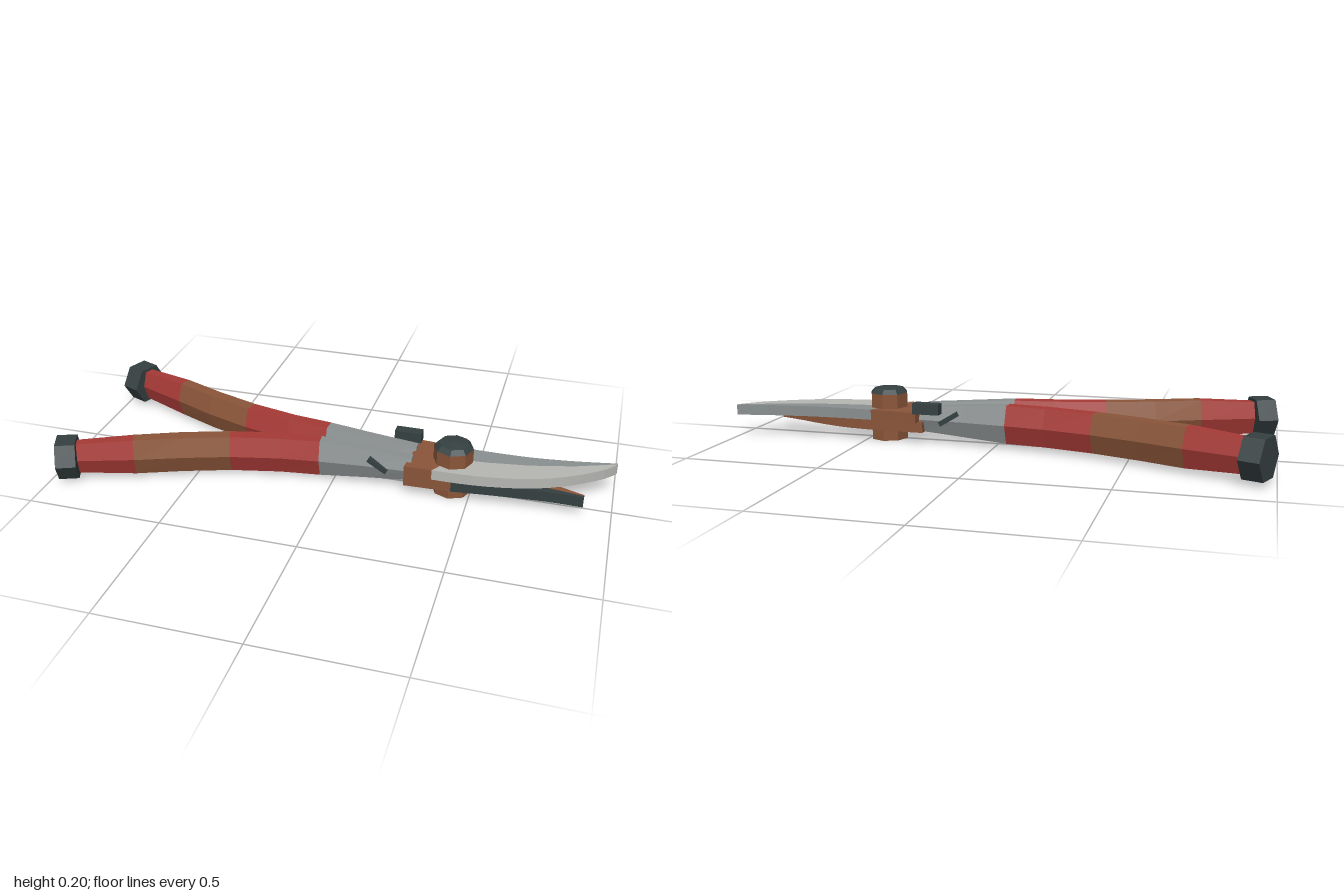
import * as THREE from 'three';

const mat = (name, color) => {
  const m = new THREE.MeshStandardMaterial({ color, flatShading: true });
  m.name = name;
  return m;
};

// Hexagonal loft along stations [x, z, half width, half height]
function hexLoft(all, from, to, cy) {
  const rings = [];
  for (let j = from; j <= to; j++) {
    const [x, z, hw, hh] = all[j];
    const p = all[Math.max(j - 1, 0)], q = all[Math.min(j + 1, all.length - 1)];
    const len = Math.hypot(q[0] - p[0], q[1] - p[1]);
    const nx = -(q[1] - p[1]) / len, nz = (q[0] - p[0]) / len;
    const ring = [];
    for (let i = 0; i < 6; i++) {
      const a = i * Math.PI / 3, w = Math.cos(a) * hw;
      ring.push([x + nx * w, cy + Math.sin(a) * hh / 0.866, z + nz * w]);
    }
    rings.push(ring);
  }
  const pos = [];
  const tri = (a, b, c) => pos.push(...a, ...b, ...c);
  for (let j = 0; j < rings.length - 1; j++) {
    for (let i = 0; i < 6; i++) {
      const k = (i + 1) % 6, r = rings[j], s = rings[j + 1];
      tri(r[i], s[i], s[k]);
      tri(r[i], s[k], r[k]);
    }
  }
  const first = rings[0], last = rings[rings.length - 1];
  for (let i = 1; i < 5; i++) {
    tri(first[0], first[i], first[i + 1]);
    tri(last[0], last[i + 1], last[i]);
  }
  const g = new THREE.BufferGeometry();
  g.setAttribute('position', new THREE.Float32BufferAttribute(pos, 3));
  g.computeVertexNormals();
  return g;
}

// Flat plate with an outline of [x, z] points between two heights
function plate(points, y0, y1) {
  const shape = new THREE.Shape(points.map(([x, z]) => new THREE.Vector2(x, -z)));
  const g = new THREE.ExtrudeGeometry(shape, { depth: y1 - y0, bevelEnabled: false });
  return g.rotateX(-Math.PI / 2).translate(0, y0, 0);
}

// Smooth run of points through a few [x, z] stations
const curve = (pts, n = 14) => new THREE.SplineCurve(pts.map(p => new THREE.Vector2(...p)))
  .getPoints(n).map(p => [p.x, p.y]);

export function createModel() {
  const root = new THREE.Group();
  root.name = 'gardenShears';
  const red = mat('red grip', 0xa63a36);
  const brown = mat('copper brown', 0x8a5539);
  const grey = mat('steel grey', 0x8a8f90);
  const light = mat('light steel', 0xb6b7b3);
  const dark = mat('dark iron', 0x354041);

  const add = (name, geometry, material, parent = root) => {
    const m = new THREE.Mesh(geometry, material);
    m.name = name;
    parent.add(m);
    return m;
  };

  // Handles, one on each side
  const CY = 0.09;
  for (const s of [-1, 1]) {
    const handle = new THREE.Group();
    handle.name = s < 0 ? 'backHandle' : 'frontHandle';
    root.add(handle);
    const path = [
      [-0.92, 0.312, 0.036, 0.058], [-0.71, 0.235, 0.043, 0.07], [-0.55, 0.17, 0.046, 0.07],
      [-0.38, 0.113, 0.046, 0.07], [-0.2, 0.072, 0.046, 0.07], [-0.05, 0.053, 0.045, 0.07],
      [0.12, 0.045, 0.037, 0.058], [0.29, 0.042, 0.032, 0.045],
    ].map(([x, z, w, h]) => [x, z * s, w, h]);
    add('gripEnd', hexLoft(path, 0, 1, CY), red, handle);
    add('gripMiddle', hexLoft(path, 1, 3, CY), brown, handle);
    add('gripFront', hexLoft(path, 3, 5, CY), red, handle);
    add('shank', hexLoft(path, 5, 7, CY), grey, handle);

    // Hexagonal end cap following the handle direction
    const dx = 0.034, dz = -0.0135;
    const cap = [[-0.937 - dx, 0.32 - dz, 0.08, 0.07], [-0.937 + dx, 0.32 + dz, 0.08, 0.07]]
      .map(([x, z, w, h]) => [x, z * s, w, h]);
    add('endCap', hexLoft(cap, 0, 1, CY), dark, handle);

    // Slanted pin on the outer side of the shank
    const pin = add('shankPin', new THREE.BoxGeometry(0.08, 0.018, 0.025), dark, handle);
    pin.position.set(0.17, 0.1, 0.075 * s);
    pin.rotation.z = -0.55;
  }

  // Safety catch
  const catchBlock = add('safetyCatch', new THREE.BoxGeometry(0.1, 0.04, 0.04), dark);
  catchBlock.position.set(0.245, 0.14, -0.101);

  // Upper blade: brown base, grey body and light cutting edge
  const upper = new THREE.Group();
  upper.name = 'upperBlade';
  root.add(upper);
  const U0 = 0.083, U1 = 0.122;
  const upperMid = [[0.43, -0.005], [0.55, -0.013], [0.7, -0.035], [0.85, -0.073], [1, -0.131]];
  add('upperBase', plate([[0.27, 0.095], [0.29, -0.108], [0.47, -0.092], [0.43, -0.005], [0.37, 0.093]], U0, U1), brown, upper);
  add('upperBody', plate([
    ...curve([[0.47, -0.092], [0.6, -0.09], [0.72, -0.094], [0.86, -0.111], [1, -0.136]]),
    ...upperMid.slice().reverse()], U0, U1), grey, upper);
  add('upperEdge', plate([
    ...upperMid,
    ...curve([[0.997, -0.124], [0.95, -0.074], [0.85, -0.005], [0.73, 0.05], [0.6, 0.08], [0.48, 0.092], [0.37, 0.093]])],
  U0, U1), light, upper);

  // Lower blade: brown base and inner half, dark outer half
  const lower = new THREE.Group();
  lower.name = 'lowerBlade';
  root.add(lower);
  const L0 = 0.043, L1 = 0.083;
  const lowerMid = [[0.44, 0.02], [0.6, 0.022], [0.75, 0.03], [0.9, 0.05]];
  add('lowerBase', plate([[0.27, -0.085], [0.27, 0.095], [0.44, 0.09], [0.44, -0.085]], L0, L1), brown, lower);
  add('lowerInner', plate([
    ...curve([[0.44, -0.085], [0.58, -0.068], [0.7, -0.032], [0.8, 0.008], [0.9, 0.044]]),
    ...lowerMid.slice().reverse()], L0, L1), brown, lower);
  add('lowerOuter', plate([
    ...lowerMid,
    ...curve([[0.9, 0.062], [0.78, 0.06], [0.6, 0.073], [0.44, 0.09]])], L0, L1), dark, lower);

  // Octagonal pivot bolt with a domed dark head
  const bolt = add('pivotBolt', new THREE.CylinderGeometry(0.072, 0.072, 0.175, 8), brown);
  bolt.position.set(0.43, 0.0875, 0);
  const head = [[0.072, 0.175], [0.056, 0.192], [0, 0.2]].map(p => new THREE.Vector2(...p));
  const dome = add('pivotHead', new THREE.LatheGeometry(head, 8), dark);
  dome.position.set(0.43, 0, 0);

  return root;
}
